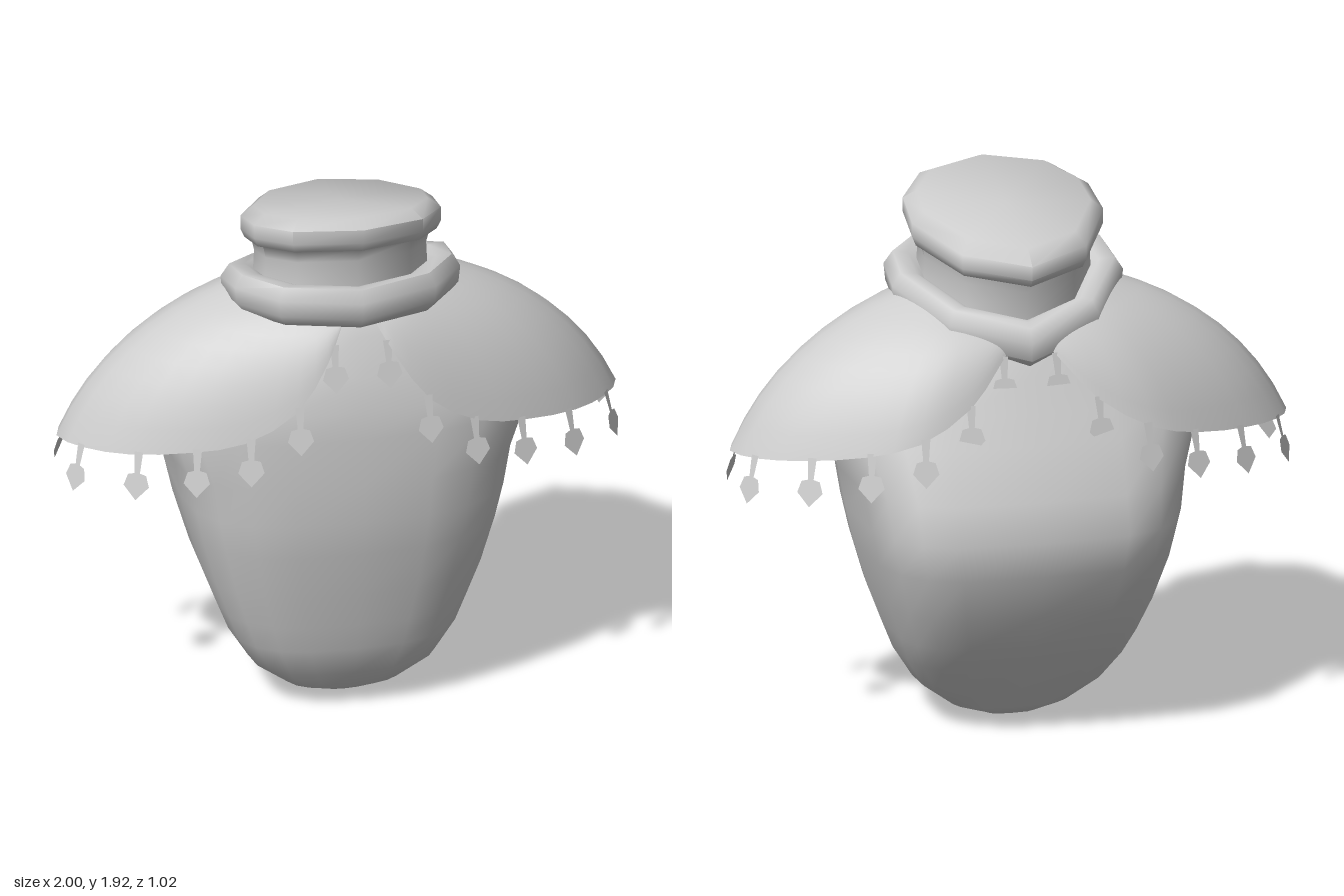
import * as THREE from 'three';
import { toCreasedNormals } from 'three/addons/utils/BufferGeometryUtils.js';

const material = new THREE.MeshStandardMaterial({ color: 0xcccccc });
const thin = new THREE.MeshStandardMaterial({ color: 0xcccccc, side: THREE.DoubleSide });

// Skin a list of cross-sections, given from bottom to top
function loft(rows, closed) {
  const n = rows[0].length, index = [];
  for (let r = 0; r < rows.length - 1; r++) {
    for (let i = 0; i < (closed ? n : n - 1); i++) {
      const j = (i + 1) % n;
      const a = r * n + i, b = r * n + j, c = a + n, d = b + n;
      index.push(a, b, d, a, d, c);
    }
  }
  const geo = new THREE.BufferGeometry();
  geo.setAttribute('position', new THREE.Float32BufferAttribute(rows.flat(2), 3));
  geo.setIndex(index);
  geo.computeVertexNormals();
  return geo;
}

function add(parent, name, geo, mat = material) {
  const mesh = new THREE.Mesh(geo, mat);
  mesh.name = name;
  parent.add(mesh);
  return mesh;
}

// Torso: height, half width, front z, back z; the lower back is boxier
function torso() {
  const levels = [
    [0, 0, 0.1, 0.1], [0.015, 0.1, 0.19, -0.03], [0.05, 0.21, 0.25, -0.07], [0.14, 0.33, 0.33, -0.15],
    [0.25, 0.4, 0.37, -0.25], [0.35, 0.44, 0.39, -0.335], [0.48, 0.49, 0.42, -0.41],
    [0.65, 0.54, 0.45, -0.49], [0.78, 0.57, 0.47, -0.51], [0.92, 0.595, 0.47, -0.48],
    [1.1, 0.66, 0.47, -0.4], [1.2, 0.62, 0.455, -0.345], [1.32, 0.5, 0.43, -0.29],
    [1.45, 0.34, 0.37, -0.22], [1.55, 0.24, 0.32, -0.14], [1.55, 0, 0.1, 0.1],
  ];
  const sides = 20, mid = 0.1;
  return loft(levels.map(([y, w, front, back]) => {
    const row = [], backPower = 0.54 + 0.13 * THREE.MathUtils.smoothstep(y, 0.8, 1.1);
    for (let i = 0; i < sides; i++) {
      const a = (i / sides) * Math.PI * 2, s = Math.sin(a), c = Math.cos(a);
      const p = c > 0 ? 0.75 : backPower;
      row.push([
        Math.sign(s) * Math.abs(s) ** p * w, y,
        mid + (c > 0 ? front - mid : back - mid) * Math.abs(c) ** p,
      ]);
    }
    return row;
  }), true);
}

// Neck with two rolled rims on a teardrop outline, tilted down to the back
function neck() {
  const half = [[0, 0.37], [0.23, 0.29], [0.33, 0.14], [0.34, -0.03], [0.22, -0.26], [0, -0.37]];
  const outline = [...half, ...half.slice(1, -1).reverse().map(([x, z]) => [-x, z])];
  // x scale, z scale, height, droop of the back
  const rows = [
    [0.9, 0.78, 1.475, 0.05], [1.1, 0.93, 1.485, 0.06], [1.2, 1.02, 1.53, 0.06], [1.22, 1.02, 1.59, 0.06],
    [1.13, 0.97, 1.635, 0.06], [0.97, 0.88, 1.63, 0.06], [0.88, 0.83, 1.61, 0.04],
    [0.87, 0.82, 1.68, 0], [0.9, 0.86, 1.725, 0], [0.97, 0.97, 1.732, 0],
    [1.01, 1.03, 1.765, 0], [1.01, 1.03, 1.815, 0], [0.88, 0.87, 1.85, 0], [0, 0, 1.85, 0],
  ];
  const geo = loft(rows.map(([sx, sz, y, droop]) => outline.map(([x, z]) => {
    const t = (z * sz) / 0.37;
    return [x * sx, y + 0.085 * t - droop * t * t, 0.075 + z * sz];
  })), true);
  return toCreasedNormals(geo, 1.1);
}

const curve = (points) => new THREE.CatmullRomCurve3(points.map((p) => new THREE.Vector3(...p)));

// Lower edge of one cape half, from the front opening round to the back
const hem = curve([
  [0.06, 1.51, 0.385], [0.12, 1.4, 0.44], [0.24, 1.23, 0.47], [0.42, 1.12, 0.445], [0.6, 1.08, 0.39],
  [0.8, 1.05, 0.29], [0.93, 1.035, 0.17], [1, 1.03, 0.04], [0.93, 1.035, -0.09], [0.8, 1.05, -0.2],
  [0.6, 1.08, -0.31], [0.42, 1.13, -0.37], [0.23, 1.24, -0.345], [0.12, 1.36, -0.29], [0.05, 1.44, -0.24],
]);
const collarLine = curve([
  [0.06, 1.53, 0.35], [0.18, 1.54, 0.32], [0.32, 1.555, 0.2], [0.38, 1.565, 0.05],
  [0.3, 1.545, -0.08], [0.18, 1.505, -0.17], [0.05, 1.46, -0.22],
]);

// Domed shell between the collar line and the hem
function cape() {
  const rows = [], across = 28, down = 8;
  for (let r = 0; r <= down; r++) {
    const v = r / down, row = [];
    for (let i = 0; i <= across; i++) {
      const low = hem.getPoint(i / across), high = collarLine.getPoint(i / across);
      const corner = new THREE.Vector3(low.x, high.y, low.z);
      const control = low.clone().add(high).multiplyScalar(0.5).lerp(corner, 0.45);
      row.push(new THREE.QuadraticBezierCurve3(low, control, high).getPoint(v).toArray());
    }
    rows.push(row);
  }
  return loft(rows, false);
}

// Flat tassel: short stem with a five-sided drop
function tassel() {
  const outline = [
    [-0.016, 0.01], [-0.01, -0.066], [-0.033, -0.072], [-0.046, -0.112], [0, -0.162],
    [0.046, -0.112], [0.033, -0.072], [0.01, -0.066], [0.016, 0.01],
  ];
  const geo = new THREE.ShapeGeometry(new THREE.Shape(outline.map((p) => new THREE.Vector2(...p))));
  return geo.rotateX(-0.25);
}

// Hem point at a given x on the front or back run
function hemAt(x, back) {
  let inner = back ? 1 : 0, outer = 0.5;
  for (let k = 0; k < 24; k++) {
    const mid = (inner + outer) / 2;
    if (hem.getPoint(mid).x < x) inner = mid; else outer = mid;
  }
  return hem.getPoint(inner);
}

export function createModel() {
  const model = new THREE.Group();
  model.name = 'capedTorso';
  add(model, 'torso', torso());
  add(model, 'neckAndCollar', neck());

  const capeGeo = cape(), tasselGeo = tassel();
  for (const side of [1, -1]) {
    const half = new THREE.Group();
    half.name = side > 0 ? 'leftCape' : 'rightCape';
    half.scale.x = side;
    add(half, 'capeShell', capeGeo, thin);
    for (const back of [false, true]) {
      for (const x of [0.095, 0.23, 0.4, 0.58, 0.77, 0.94]) {
        const drop = add(half, 'tassel', tasselGeo, thin);
        drop.position.copy(hemAt(x, back));
        // Face outward from the oval plan of the cape
        drop.rotation.y = Math.atan2(x, (drop.position.z - 0.04) / 0.2);
      }
    }
    model.add(half);
  }
  return model;
}
